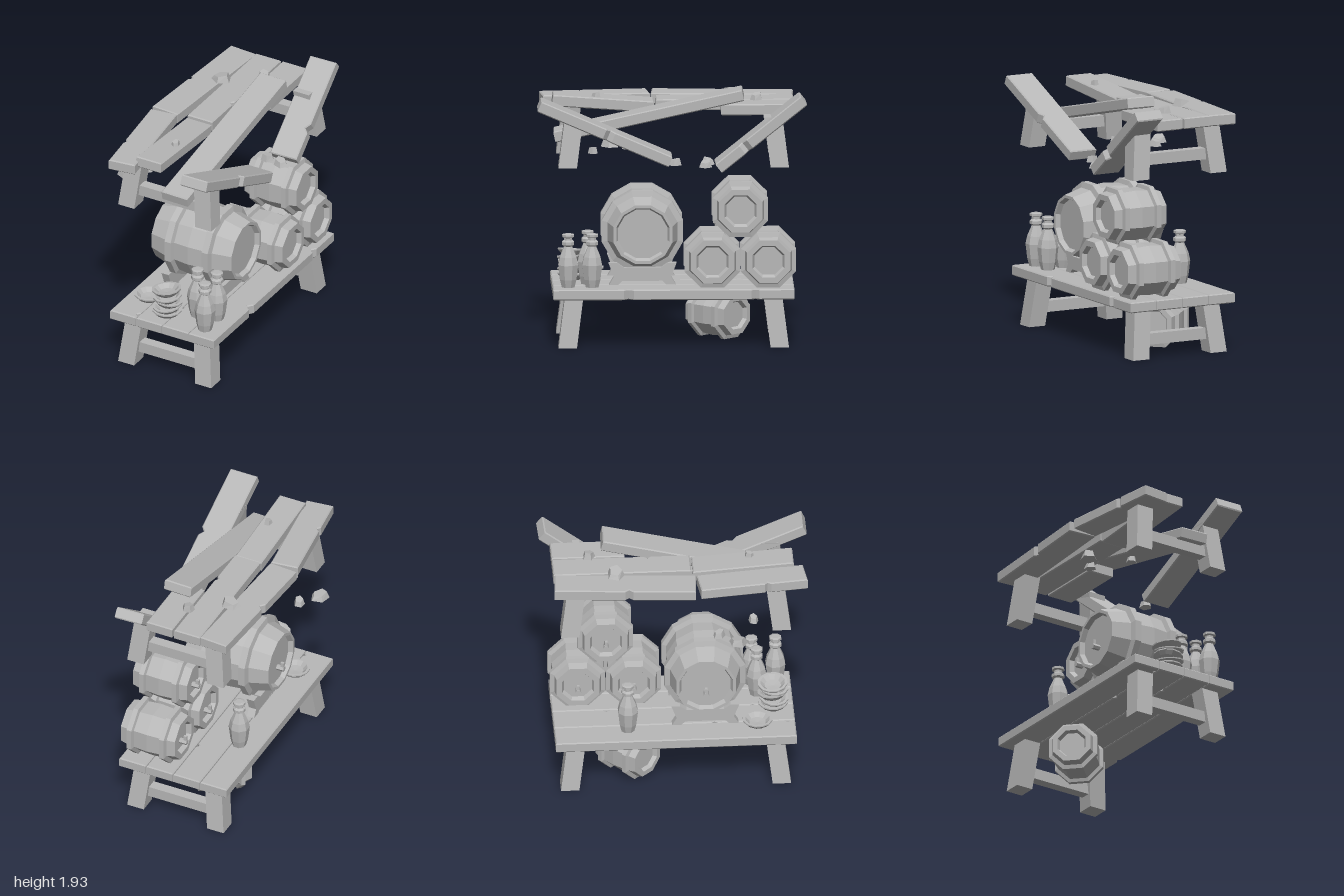
import * as THREE from 'three';

const grey = new THREE.MeshStandardMaterial({ color: 0xb8b8b8 });
grey.name = 'stone grey';

// Faceted mesh
function part(name, geo, x = 0, y = 0, z = 0) {
  const g = geo.index ? geo.toNonIndexed() : geo;
  g.computeVertexNormals();
  const m = new THREE.Mesh(g, grey);
  m.name = name;
  m.position.set(x, y, z);
  return m;
}

// Bevelled board lying along z, top at its origin; notches are [side, z, depth]
function plank(name, w, l, t, notches = []) {
  const side = s => notches.filter(n => n[0] === s).sort((a, b) => s * (a[1] - b[1]))
    .flatMap(([, z, d]) => [[s * w / 2, z - s * d * 1.3], [s * (w / 2 - d), z], [s * w / 2, z + s * d * 1.1]]);
  const pts = [[-w / 2, -l / 2], [w / 2, -l / 2], ...side(1), [w / 2, l / 2], [-w / 2, l / 2], ...side(-1)];
  const b = 0.008;
  const geo = new THREE.ExtrudeGeometry(new THREE.Shape(pts.map(p => new THREE.Vector2(...p))), {
    depth: t - 2 * b, bevelThickness: b, bevelSize: b, bevelOffset: -b, bevelSegments: 1,
  });
  geo.rotateX(Math.PI / 2).translate(0, -b, 0);
  return part(name, geo);
}

function place(m, x, y, z, tilt = 0, yaw = 0, roll = 0) {
  m.position.set(x, y, z);
  m.rotation.set(tilt, yaw, roll, 'YXZ');
  return m;
}

// Splayed legs with a crossbar at each end
function trestle(y0) {
  const g = new THREE.Group();
  g.name = 'trestle';
  for (const sz of [-1, 1]) {
    for (const sx of [-1, 1]) {
      const geo = new THREE.BoxGeometry(0.138, 0.375, 0.138).translate(0, 0.1875, 0);
      const p = geo.attributes.position;
      for (let i = 0; i < p.count; i++) {
        const k = p.getY(i) / 0.375;
        p.setX(i, p.getX(i) + sx * (0.333 - 0.04 * k));
        p.setZ(i, p.getZ(i) + sz * (0.795 - 0.048 * k));
      }
      g.add(part('leg', geo, 0.084, y0, -0.01));
    }
    g.add(part('crossbar', new THREE.BoxGeometry(0.58, 0.085, 0.08), 0.084, y0 + 0.143, -0.01 + sz * 0.775));
  }
  return g;
}

// Faceted turned shape with flats facing the axes; radii are to the flats
function turned(profile, n) {
  const c = Math.cos(Math.PI / n);
  return new THREE.LatheGeometry(profile.map(([r, y]) => new THREE.Vector2(r / c, y)), n, Math.PI / n);
}

// Barrel lying along x with hoops, recessed ends and a tap on the -x end
function barrel(n, { half, end, inner, mid, hoop, hoopX, hoopW, tap = true }) {
  const a = hoopX - hoopW / 2, b = hoopX + hoopW / 2, body = mid * 0.96, bev = hoopW * 0.15;
  const right = [[mid, 0], [body, a], [hoop, a + bev], [hoop, b - bev], [body * 0.97, b],
    [end, half], [inner + 0.015, half], [inner, half - 0.035], [0, half - 0.035]];
  const left = right.slice(1).map(([r, y]) => [r, -y]).reverse();
  const g = new THREE.Group();
  g.name = 'barrel';
  g.add(part('cask', turned([...left, ...right], n).rotateZ(-Math.PI / 2)));
  if (tap) {
    const y = -inner * 0.35;
    g.add(part('tapPipe', new THREE.CylinderGeometry(0.022, 0.022, 0.07, 6).rotateZ(Math.PI / 2), -half + 0.01, y, 0));
    g.add(part('tapHandle', new THREE.BoxGeometry(0.025, 0.07, 0.02), -half - 0.01, y + 0.02, 0));
  }
  return g;
}

function bottle(x, z) {
  const profile = [[0, 0], [0.048, 0], [0.062, 0.06], [0.074, 0.17], [0.062, 0.23], [0.03, 0.31], [0.045, 0.322],
    [0.045, 0.345], [0.03, 0.358], [0.03, 0.375], [0.044, 0.382], [0.044, 0.4], [0.028, 0.405], [0, 0.405]];
  return part('bottle', turned(profile, 8), x, 0.452, z);
}

function bowl(x, y, z, tilt = 0, roll = 0) {
  const profile = [[0, 0], [0.06, 0], [0.085, 0.018], [0.11, 0.045], [0.11, 0.055], [0.09, 0.055], [0.06, 0.025], [0, 0.02]];
  return place(part('bowl', turned(profile, 12)), x, y, z, tilt, 0, roll);
}

function chip(x, y, z, r, spin) {
  const geo = new THREE.CylinderGeometry(r * 0.72, r, 0.05, 5).scale(1, 1, 0.85);
  const p = geo.attributes.position;
  for (let i = 0; i < p.count; i++) if (p.getY(i) > 0) p.setY(i, 0.02 + p.getX(i) * 0.25);
  return place(part('splinter', geo), x, y + 0.025, z, 0, spin);
}

export function createModel() {
  const model = new THREE.Group();
  model.name = 'tavernBenches';

  // Lower bench
  model.add(trestle(0));
  const cuts = [[[1, 0.85, 0.02]], [[-1, 0.3, 0.02], [1, -0.5, 0.02]], [[-1, 0.6, 0.015]], [[1, 0.34, 0.03], [1, -0.61, 0.025]]];
  cuts.forEach((c, i) => model.add(place(plank('benchBoard', 0.221, 1.81, 0.08, c), -0.253 + i * 0.225, 0.452, -0.01)));

  // Collapsed upper bench
  const T = 0.085;
  model.add(trestle(1.37));
  model.add(
    place(plank('brokenBoard', 0.225, 1.06, T, [[-1, 0.03, 0.025]]), -0.287, 1.82, -0.39, 0, -0.067),
    place(plank('brokenBoard', 0.212, 0.81, T, [[-1, 0.1, 0.02]]), -0.27, 1.822, 0.565, 0, 0.12),
    place(plank('brokenBoard', 0.215, 1.035, T, [[1, 0.2, 0.02]]), -0.035, 1.82, -0.402),
    place(plank('brokenBoard', 0.215, 0.76, T), -0.035, 1.83, 0.506, -0.07),
    place(plank('brokenBoard', 0.215, 0.55, T), 0.195, 1.82, -0.645),
    place(plank('fallenBoard', 0.225, 1.45, T), 0.207, 1.775, 0.18, 0.222, -0.032),
    place(plank('fallenBoard', 0.222, 1.07, T, [[1, -0.03, 0.03]]), 0.42, 1.672, 0.49, -0.408),
    place(plank('fallenBoard', 0.222, 0.82, T, [[1, 0.15, 0.03]]), 0.425, 1.66, -0.636, 0.672, 0.03),
  );

  // Large barrel on its cradle
  const big = barrel(12, { half: 0.345, end: 0.222, inner: 0.185, mid: 0.282, hoop: 0.305, hoopX: 0.16, hoopW: 0.075 });
  big.position.set(0.08, 0.853, 0.22);
  model.add(big);
  const half = [[0.25, 0], [0.215, 0.06], [0.255, 0.165], [0.19, 0.165], [0.14, 0.13]];
  const outline = [...half, ...half.map(([x, y]) => [-x, y]).reverse(), [-0.18, 0], [-0.15, 0.03], [0.15, 0.03], [0.18, 0]];
  for (const x of [-0.16, 0.25]) {
    const geo = new THREE.ExtrudeGeometry(new THREE.Shape(outline.map(p => new THREE.Vector2(...p))), { depth: 0.06, bevelEnabled: false });
    model.add(part('cradle', geo.rotateY(Math.PI / 2), x, 0.452, 0.22));
  }

  // Stacked small barrels and one under the bench
  const small = { half: 0.225, end: 0.162, inner: 0.105, mid: 0.188, hoop: 0.208, hoopX: 0.135, hoopW: 0.055 };
  for (const [y, z] of [[0.662, -0.3], [0.662, -0.72], [1.048, -0.51]]) {
    const b = barrel(8, small);
    b.position.set(0.31, y, z);
    model.add(b);
  }
  const loose = barrel(8, { ...small, tap: false });
  loose.scale.setScalar(0.88);
  model.add(place(loose, -0.04, 0.183, -0.355, 0, Math.PI / 4));

  // Tableware
  for (const [x, z] of [[0.39, 0.78], [0.39, 0.6], [0.24, 0.63], [-0.2, -0.365]]) model.add(bottle(x, z));
  model.add(bowl(-0.19, 0.452, 0.61));
  [[0, 0], [0.1, 0.12], [-0.08, -0.12], [0.1, 0.1], [-0.05, 0.14]].forEach(([tilt, roll], i) =>
    model.add(bowl(0.04 + (i % 2) * 0.012, 0.452 + i * 0.044, 0.74, tilt, roll)));

  // Splinters on the upper boards and below them
  const chips = [[-0.175, 1.82, -0.455, 0.08], [0.01, 1.82, 0.56, 0.04], [0.09, 1.82, -0.64, 0.055],
    [-0.475, 1.37, 0.445, 0.075], [-0.37, 1.37, 0.31, 0.05], [-0.18, 1.37, 0.58, 0.045],
    [0.36, 1.37, -0.02, 0.055], [0.455, 1.37, -0.25, 0.06], [0.33, 1.37, -0.27, 0.055]];
  chips.forEach(([x, y, z, r], i) => model.add(chip(x, y, z, r, i * 1.3)));

  return model;
}
